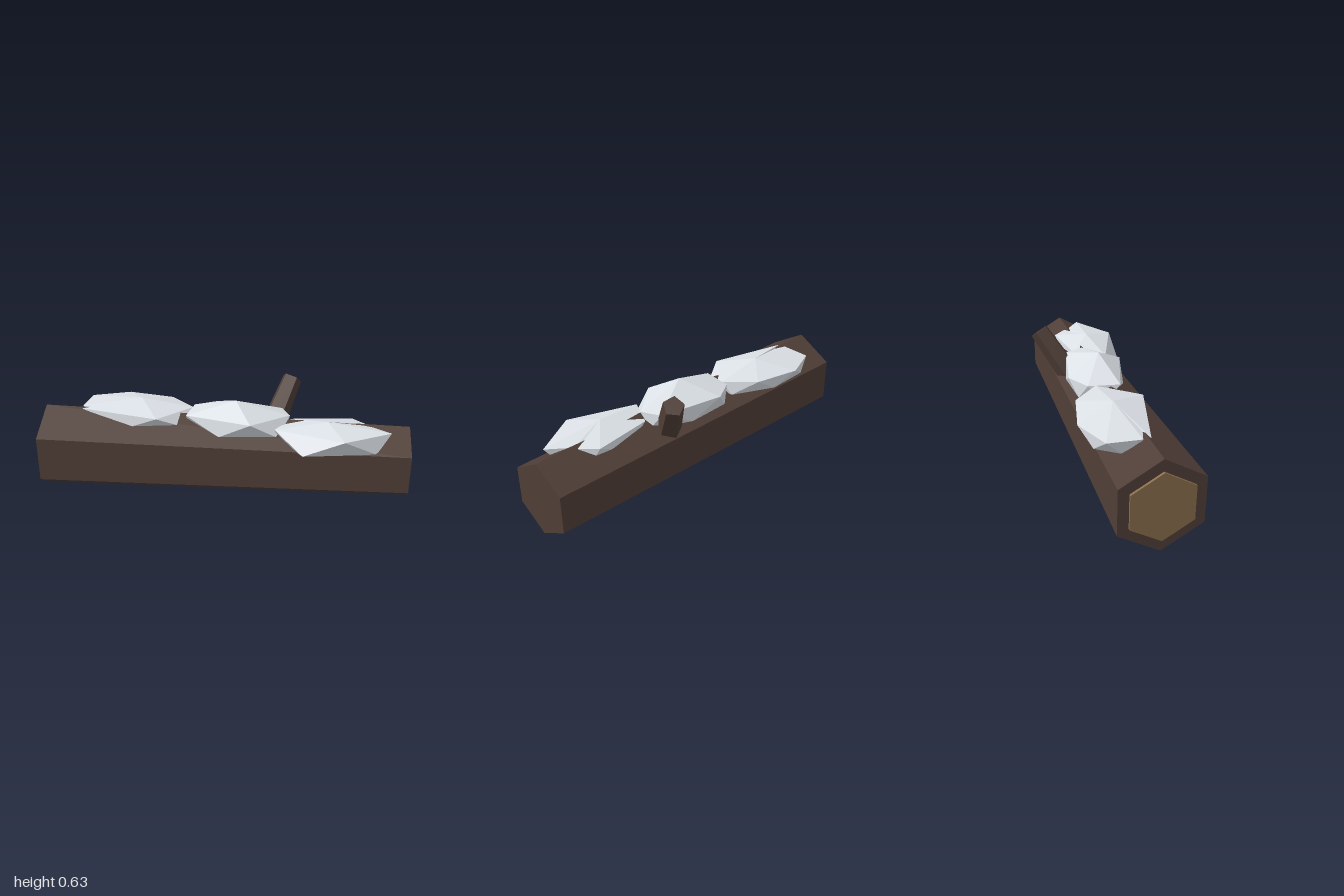
import * as THREE from 'three';

const bark = new THREE.MeshStandardMaterial({ name: 'bark', color: 0x503e37 });
const wood = new THREE.MeshStandardMaterial({ name: 'cut wood', color: 0x8a6c4c });
const snow = new THREE.MeshStandardMaterial({ name: 'snow', color: 0xdfe4ea });
for (const m of [bark, wood, snow]) m.flatShading = true;

// Six-sided prism lying along x, with a corner pointing up
function hexBeam(name, rightR, leftR, length, material) {
  const geo = new THREE.CylinderGeometry(rightR, leftR, length, 6);
  geo.rotateY(Math.PI / 2).rotateZ(-Math.PI / 2);
  const mesh = new THREE.Mesh(geo, material);
  mesh.name = name;
  return mesh;
}

// Faceted lump: apex, upper ring, staggered lower ring, buried bottom point.
// Rings are [x, z] pairs running from +x towards +z.
function snowLump(name, apex, upperY, lowerY, upper, lower) {
  const n = upper.length;
  const points = [
    apex, [apex[0], lowerY - 0.05, apex[2]],
    ...upper.map(([x, z]) => [x, upperY, z]),
    ...lower.map(([x, z]) => [x, lowerY, z]),
  ];
  const faces = [];
  for (let i = 0; i < n; i++) {
    const j = (i + 1) % n;
    const u = 2 + i, v = 2 + j, l = 2 + n + i, m = 2 + n + j;
    faces.push(0, v, u, u, v, l, v, m, l, 1, l, m);
  }
  const geo = new THREE.BufferGeometry();
  geo.setAttribute('position', new THREE.Float32BufferAttribute(faces.flatMap((f) => points[f]), 3));
  geo.computeVertexNormals();
  const mesh = new THREE.Mesh(geo, snow);
  mesh.name = name;
  return mesh;
}

export function createModel() {
  const model = new THREE.Group();
  model.name = 'snowyLog';

  // Tapered trunk with a cut disc on the thick end
  const trunk = new THREE.Group();
  trunk.name = 'trunk';
  trunk.position.set(0.004, 0.24, 0.023);
  trunk.rotation.y = 0.081;
  const cutEnd = hexBeam('cutEnd', 0.177, 0.177, 0.02, wood);
  cutEnd.position.x = -0.9855;
  trunk.add(hexBeam('log', 0.201, 0.238, 1.965, bark), cutEnd);
  model.add(trunk);

  // Five-sided branch stub leaning up and back
  const tip = new THREE.Vector3(0.335, 0.6, -0.262);
  const base = new THREE.Vector3(0.224, 0.3, -0.067);
  const axis = tip.clone().sub(base);
  const length = axis.length();
  axis.normalize();
  const side = new THREE.Vector3(0, -axis.z, axis.y).negate().normalize();
  const branch = new THREE.Mesh(new THREE.CylinderGeometry(0.055, 0.072, length, 5), bark);
  branch.name = 'branch';
  const basis = new THREE.Matrix4().makeBasis(axis.clone().cross(side), axis, side);
  branch.quaternion.setFromRotationMatrix(basis);
  branch.position.addVectors(tip, base).multiplyScalar(0.5);
  model.add(branch);

  // Snow lying along the top
  model.add(
    snowLump('snowRight', [-0.46, 0.515, -0.01], 0.47, 0.4,
      [[-0.18, -0.04], [-0.33, 0.175], [-0.77, 0.1], [-0.71, 0.075], [-0.78, 0.06], [-0.785, -0.11], [-0.59, -0.205], [-0.33, -0.17]],
      [[-0.19, 0.09], [-0.5, 0.155], [-0.72, 0.09], [-0.72, 0.06], [-0.77, -0.03], [-0.7, -0.15], [-0.45, -0.18], [-0.21, -0.09]]),
    snowLump('snowMiddle', [0.07, 0.55, 0.025], 0.47, 0.385,
      [[0.355, -0.02], [0.17, 0.165], [-0.19, 0.09], [-0.18, -0.08], [-0.06, -0.16], [0.3, -0.12]],
      [[0.31, 0.1], [0, 0.15], [-0.2, 0.01], [-0.13, -0.12], [0.12, -0.15], [0.34, -0.07]]),
    snowLump('snowLeft', [0.56, 0.475, 0.045], 0.435, 0.345,
      [[0.89, 0.04], [0.66, 0.208], [0.29, 0.11], [0.36, -0.06], [0.68, -0.13], [0.76, -0.06], [0.7, -0.04], [0.77, -0.04]],
      [[0.82, 0.12], [0.45, 0.218], [0.31, 0.03], [0.5, -0.1], [0.72, -0.1], [0.72, -0.05], [0.73, -0.03], [0.82, 0]]),
  );
  return model;
}
